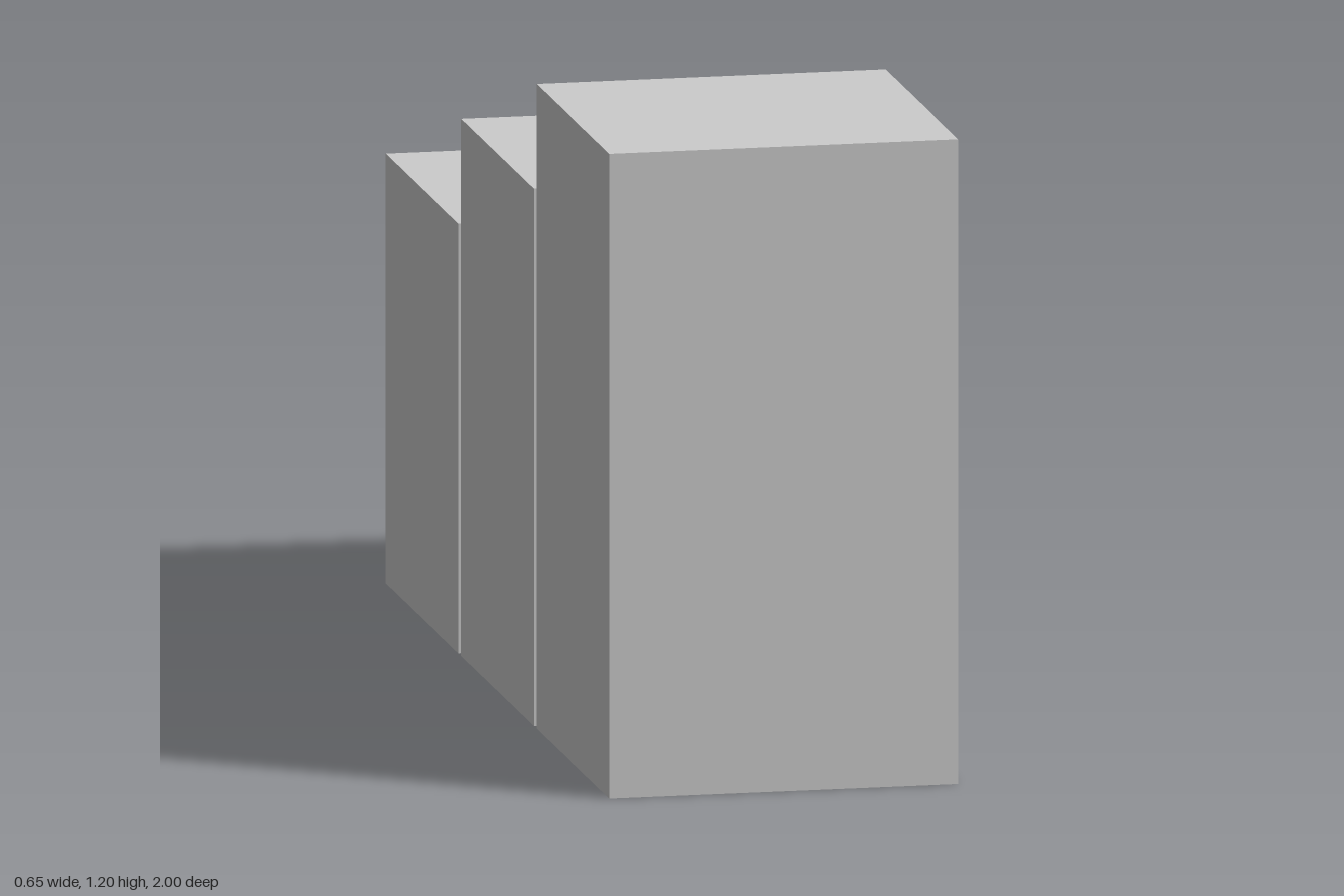
import * as THREE from 'three';

export function createModel() {
  const model = new THREE.Group();
  model.name = 'steppedBlocks';
  const material = new THREE.MeshStandardMaterial({ color: 0xcccccc });
  const side = 0.65;
  const pitch = 0.675; // block depth plus a narrow gap

  // Three separate square blocks, stepping down from front to back
  const blocks = [
    ['frontBlock', 1.2],
    ['middleBlock', 1.0],
    ['backBlock', 0.8],
  ];
  blocks.forEach(([name, height], i) => {
    const block = new THREE.Mesh(new THREE.BoxGeometry(side, height, side), material);
    block.name = name;
    block.position.set(0, height / 2, (1 - i) * pitch);
    model.add(block);
  });

  return model;
}
